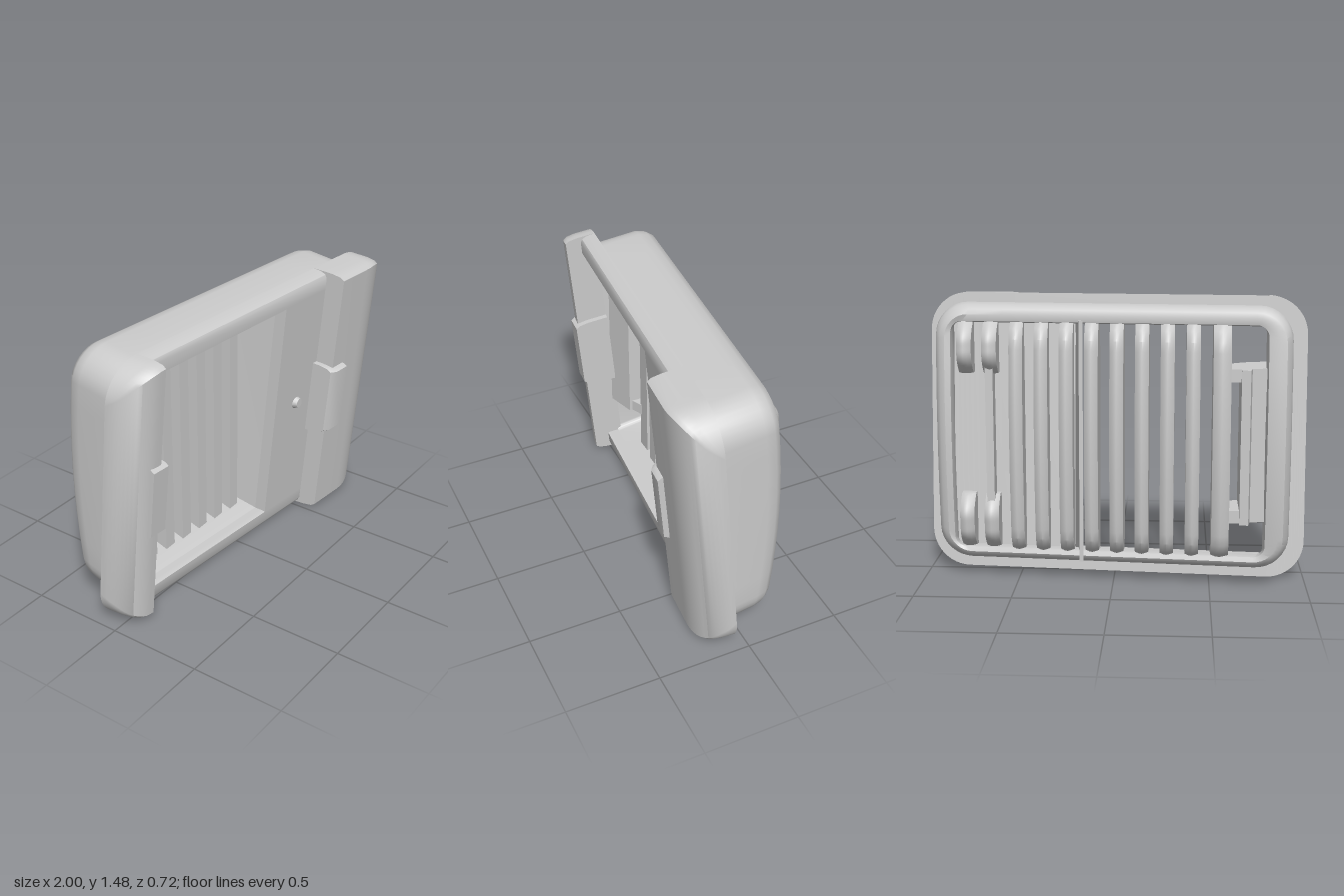
import * as THREE from 'three';
import { toCreasedNormals } from 'three/addons/utils/BufferGeometryUtils.js';

// Tilted plane of the flange back, and the bowed surface of the grille
const flangeZ = (x, y) => -0.02 + 0.08 * x + 0.09 * y;
const grilleZ = (x, y) => -0.22 + 0.085 * x - 0.05 * (1 - ((y - 0.75) / 0.65) ** 2);

// Skin through rings with equal point counts
function loft(rings, caps = false) {
  const n = rings[0].length;
  const pos = rings.flat(2);
  const index = [];
  for (let i = 0; i < rings.length - 1; i++) {
    for (let j = 0; j < n; j++) {
      const a = i * n + j, b = i * n + (j + 1) % n;
      index.push(a, a + n, b, b, a + n, b + n);
    }
  }
  if (caps) {
    const last = (rings.length - 1) * n;
    for (let j = 1; j < n - 1; j++) {
      index.push(0, j, j + 1, last, last + j + 1, last + j);
    }
  }
  const geo = new THREE.BufferGeometry();
  geo.setAttribute('position', new THREE.Float32BufferAttribute(pos, 3));
  geo.setIndex(index);
  return toCreasedNormals(geo, 0.65);
}

// Rounded rectangle laid on a surface z(x, y), sides subdivided
function roundRing(x0, x1, y0, y1, r, z) {
  const pts = [];
  const corners = [[x1 - r, y0 + r], [x1 - r, y1 - r], [x0 + r, y1 - r], [x0 + r, y0 + r]];
  corners.forEach(([cx, cy], k) => {
    const arc = [];
    for (let i = 0; i <= 8; i++) {
      const a = (k - 1 + i / 8) * Math.PI / 2;
      arc.push([cx + r * Math.cos(a), cy + r * Math.sin(a)]);
    }
    pts.push(...arc);
    const [nx, ny] = corners[(k + 1) % 4];
    const a = k * Math.PI / 2;
    const end = [nx + r * Math.cos(a), ny + r * Math.sin(a)];
    for (let i = 1; i < 8; i++) {
      pts.push([0, 1].map(c => arc[8][c] + (end[c] - arc[8][c]) * i / 8));
    }
  });
  return pts.map(([x, y]) => [x, y, z(x, y)]);
}

// Raised strip on the flange plane: bounds give [y0, y1], height gives its rise at x
function strip(xs, bounds, height, c0 = 0.03, c1 = 0.03) {
  return loft(xs.map(x => {
    const [y0, y1] = bounds(x);
    const h = height(x);
    const k = Math.min(1, h / 0.08);
    const a = c0 * k, b = c1 * k;
    return [
      [y0, 0], [y0 + a * 0.2, h * 0.6], [y0 + a * 0.5, h * 0.88], [y0 + a, h],
      [y1 - b, h], [y1 - b * 0.5, h * 0.88], [y1 - b * 0.2, h * 0.6], [y1, 0],
    ].map(([y, z]) => [x, y, flangeZ(x, y) + z]);
  }), true);
}

// Upright grille slat with a rounded back, rounded ends and a straight front
function slat(x, y0, y1, width, frontZ) {
  const geo = new THREE.BoxGeometry(width, y1 - y0, 1, 4, 24, 1);
  geo.translate(0, (y0 + y1) / 2, 0);
  const p = geo.attributes.position;
  for (let i = 0; i < p.count; i++) {
    const y = p.getY(i), u = p.getX(i) / (width / 2);
    const e = Math.min(y - y0, y1 - y);
    const round = e < 0.12 ? 0.09 * (1 - e / 0.12) ** 2 : 0;
    const back = -0.045 + 0.025 * u * u + round;
    p.setZ(i, p.getZ(i) < 0 ? grilleZ(x, y) + back : frontZ + 0.085 * x);
    p.setX(i, x + p.getX(i));
  }
  return toCreasedNormals(geo, 0.7);
}

export function createModel() {
  const group = new THREE.Group();
  group.name = 'ventCover';
  const plastic = new THREE.MeshStandardMaterial({ color: 0xcccccc, side: THREE.DoubleSide });
  plastic.name = 'greyPlastic';
  const add = (name, geo) => {
    const mesh = new THREE.Mesh(geo, plastic);
    mesh.name = name;
    group.add(mesh);
    return mesh;
  };

  // Housing: outer wall, rounded back rim, then the sloping inner wall
  const rim = d => (x, y) => grilleZ(x, y) + d;
  add('housing', loft([
    roundRing(-0.92, 0.93, 0.07, 1.42, 0.17, flangeZ),
    roundRing(-0.905, 0.93, 0.09, 1.45, 0.17, rim(0.09)),
    roundRing(-0.895, 0.92, 0.1, 1.44, 0.165, rim(0.04)),
    roundRing(-0.87, 0.895, 0.12, 1.42, 0.15, rim(0.008)),
    roundRing(-0.84, 0.87, 0.14, 1.395, 0.12, rim(0)),
    roundRing(-0.78, 0.84, 0.165, 1.36, 0.06, rim(0.012)),
    roundRing(-0.77, 0.83, 0.17, 1.35, 0.03, rim(0.06)),
    roundRing(-0.81, 0.88, 0.11, 1.37, 0.03, (x, y) => flangeZ(x, y) + 0.02),
  ]));

  // Flange: two raised end lips and the low bars joining them
  const outline = x => {
    const d = Math.min(0.2, Math.max(0, Math.abs(x) - 0.8));
    const inset = 0.2 - Math.sqrt(0.04 - d * d);
    return [inset, 1.48 - inset];
  };
  const dome = (start, h) => x => {
    const t = Math.min(1, Math.max(0, (Math.abs(x) - start) / (1 - start)));
    return h * Math.sqrt(1 - t * t);
  };
  const sweep = (from, to) => {
    const xs = [];
    for (let i = 0; i <= 14; i++) xs.push(from + (to - from) * Math.sin(i / 14 * Math.PI / 2));
    return xs;
  };
  add('leftLip', strip([0.53, ...sweep(0.74, 1)], outline, dome(0.74, 0.19)));
  add('rightLip', strip([...sweep(-0.83, -1).reverse(), -0.8], outline, dome(0.83, 0.17)));
  add('topBar', strip([-0.81, 0.54], () => [1.37, 1.48], () => 0.085, 0.005, 0.04));
  add('bottomBar', strip([-0.81, 0.54], () => [0, 0.11], () => 0.085, 0.04, 0.005));

  // Grip tabs on the inner edge of each lip
  add('leftTab', strip([0.5, 0.53, 0.62], () => [0.52, 0.95], x => (x < 0.52 ? 0.2 : 0.22)));
  add('rightTab', strip([-0.87, -0.8, -0.77], () => [0.52, 0.95], () => 0.19));

  // Flush front plate beside the left lip, its side wall and a small peg
  add('frontPlate', strip([0.2, 0.54], () => [0.1, 1.38], () => 0.085, 0.002, 0.002));
  const wallRing = (x, z) => [[x, 0.11], [x + 0.02, 0.11], [x + 0.02, 1.37], [x, 1.37]]
    .map(([px, y]) => [px, y, z(px, y)]);
  add('plateSideWall', loft([
    wallRing(0.2, (x, y) => flangeZ(x, y) + 0.02),
    wallRing(0.155, () => -0.22),
  ], true));
  const peg = add('platePeg', new THREE.CylinderGeometry(0.025, 0.04, 0.04, 12));
  peg.position.set(0.38, 0.75, 0.165);
  peg.rotation.x = Math.PI / 2;

  // Full-height slats, the outermost one wider
  add('slat', slat(-0.55, 0.13, 1.38, 0.09, -0.07));
  for (let i = 1; i < 9; i++) {
    add('slat', slat(-0.535 + i * 0.129, 0.13, 1.38, 0.07, i < 6 ? -0.07 : -0.17));
  }

  // Short slat ends and the thin bar between them
  for (const x of [0.635, 0.765]) {
    add('upperShortSlat', slat(x, 1.09, 1.37, 0.075, -0.15));
    add('lowerShortSlat', slat(x, 0.15, 0.45, 0.075, -0.15));
  }
  const bar = add('thinBar', new THREE.BoxGeometry(0.04, 0.8, 0.08));
  bar.position.set(0.64, 0.77, -0.15);

  // Latch block in the right-hand opening, with end plates reaching the first slat
  const extrudeUp = (outlineXZ, y, height) => {
    const shape = new THREE.Shape(outlineXZ.map(([x, z]) => new THREE.Vector2(x, -z)).reverse());
    const geo = new THREE.ExtrudeGeometry(shape, { depth: height, bevelEnabled: false });
    return geo.rotateX(-Math.PI / 2).translate(0, y, 0);
  };
  add('latchBlock', extrudeUp([
    [-0.81, -0.27], [-0.7, -0.3], [-0.69, -0.36], [-0.645, -0.355], [-0.645, -0.07], [-0.81, -0.02],
  ], 0.355, 0.79));
  for (const y of [0.355, 1.08]) {
    add('latchEndPlate', extrudeUp([
      [-0.66, -0.32], [-0.57, -0.32], [-0.57, -0.12], [-0.66, -0.08],
    ], y, 0.065));
  }

  return group;
}
